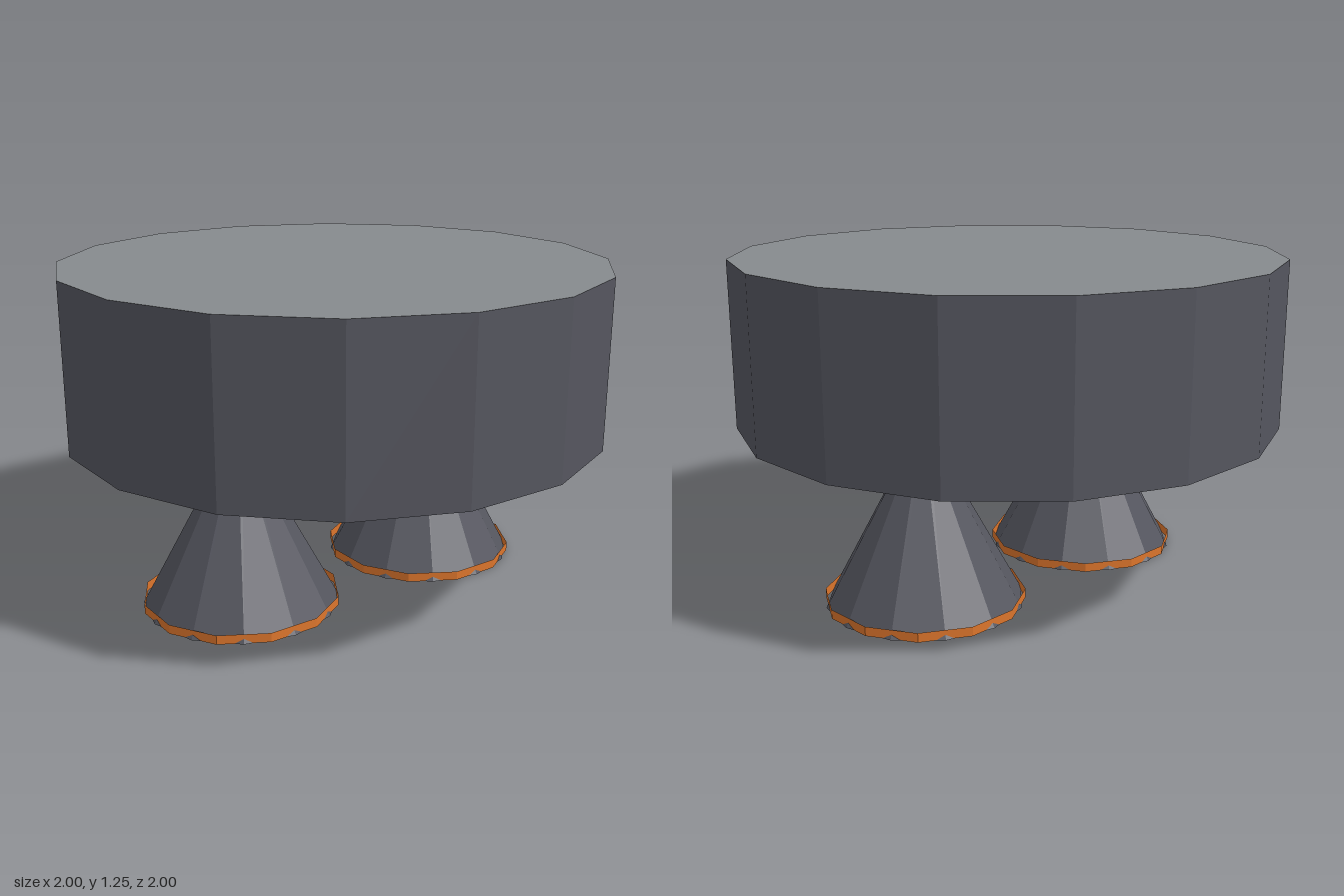
import * as THREE from 'three';

export function createModel() {
  const model = new THREE.Group();
  const material = (name, color, side = THREE.FrontSide) =>
    Object.assign(new THREE.MeshStandardMaterial({ color, flatShading: true, side }), { name });
  const darkMetal = material('dark metal', 0x55565f, THREE.DoubleSide);
  const greyCap = material('grey cap', 0x868a8d);
  const orange = material('orange trim', 0xdc752c, THREE.DoubleSide);

  const add = (parent, name, geometry, mat, y) => {
    const mesh = new THREE.Mesh(geometry, mat);
    mesh.name = name;
    mesh.position.y = y;
    parent.add(mesh);
  };

  // Sixteen-sided tank with flats facing the axes: dark wall, grey caps
  const sides = 16, height = 0.623, bottom = 0.626;
  const radius = 1 / Math.cos(Math.PI / sides);
  const tank = new THREE.CylinderGeometry(radius, radius, height, sides, 1, false, Math.PI / sides);
  add(model, 'tank', tank, [darkMetal, greyCap, greyCap], bottom + height / 2);

  // Pair of open engine bells, each with a slim rim band turned half a facet
  const bellGeometry = new THREE.CylinderGeometry(0.032, 0.369, bottom, 12, 1, true);
  const bandRadius = 0.36 / Math.cos(Math.PI / 12);
  const bandGeometry = new THREE.CylinderGeometry(bandRadius, bandRadius, 0.035, 12, 1, true, Math.PI / 12);
  for (const side of [-1, 1]) {
    const engine = new THREE.Group();
    engine.name = side > 0 ? 'leftEngine' : 'rightEngine';
    engine.position.x = side * 0.433;
    add(engine, 'bell', bellGeometry, darkMetal, bottom / 2);
    add(engine, 'rimBand', bandGeometry, orange, 0.0175);
    model.add(engine);
  }
  return model;
}
